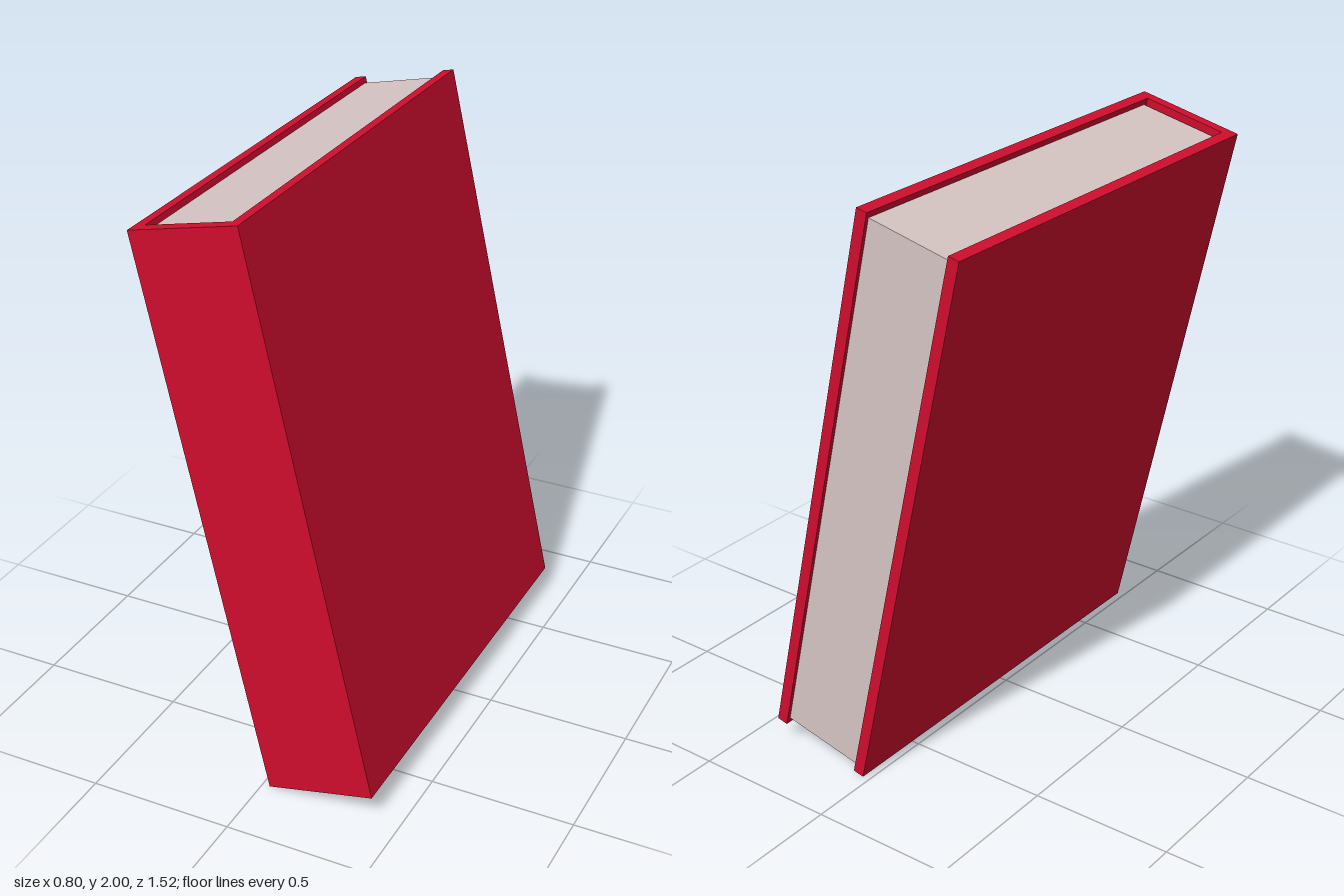
import * as THREE from 'three';

export function createModel() {
  const coverRed = new THREE.MeshStandardMaterial({ color: 0xd00d2d });
  coverRed.name = 'coverRed';
  const paper = new THREE.MeshStandardMaterial({ color: 0xd5c4c2 });
  paper.name = 'paper';

  const height = 1.963, width = 0.384, depth = 1.52, board = 0.04;
  const inset = 0.02;                      // pages sit below the cover edges
  const w = width / 2, d = depth / 2;

  const model = new THREE.Group();
  model.name = 'book';
  const leaning = new THREE.Group();
  leaning.name = 'leaningBook';
  leaning.position.y = 1;
  leaning.rotation.z = THREE.MathUtils.degToRad(12.6);
  model.add(leaning);

  // Cover: U-shaped section (two boards and the front spine) run up the height
  const section = new THREE.Shape([
    [-w, -d], [w, -d], [w, d], [w - board, d],
    [w - board, -d + board], [-w + board, -d + board], [-w + board, d], [-w, d],
  ].map(([x, y]) => new THREE.Vector2(x, y)));
  const coverGeometry = new THREE.ExtrudeGeometry(section, { depth: height, bevelEnabled: false });
  coverGeometry.translate(0, 0, -height / 2).rotateX(-Math.PI / 2);
  const cover = new THREE.Mesh(coverGeometry, coverRed);
  cover.name = 'cover';
  leaning.add(cover);

  // Page block: slightly behind the spine and inside the open edge
  const front = 0.705, back = -0.747;
  const pages = new THREE.Mesh(
    new THREE.BoxGeometry(width - 2 * board, height - 2 * inset, front - back), paper);
  pages.name = 'pages';
  pages.position.z = (front + back) / 2;
  leaning.add(pages);

  return model;
}
